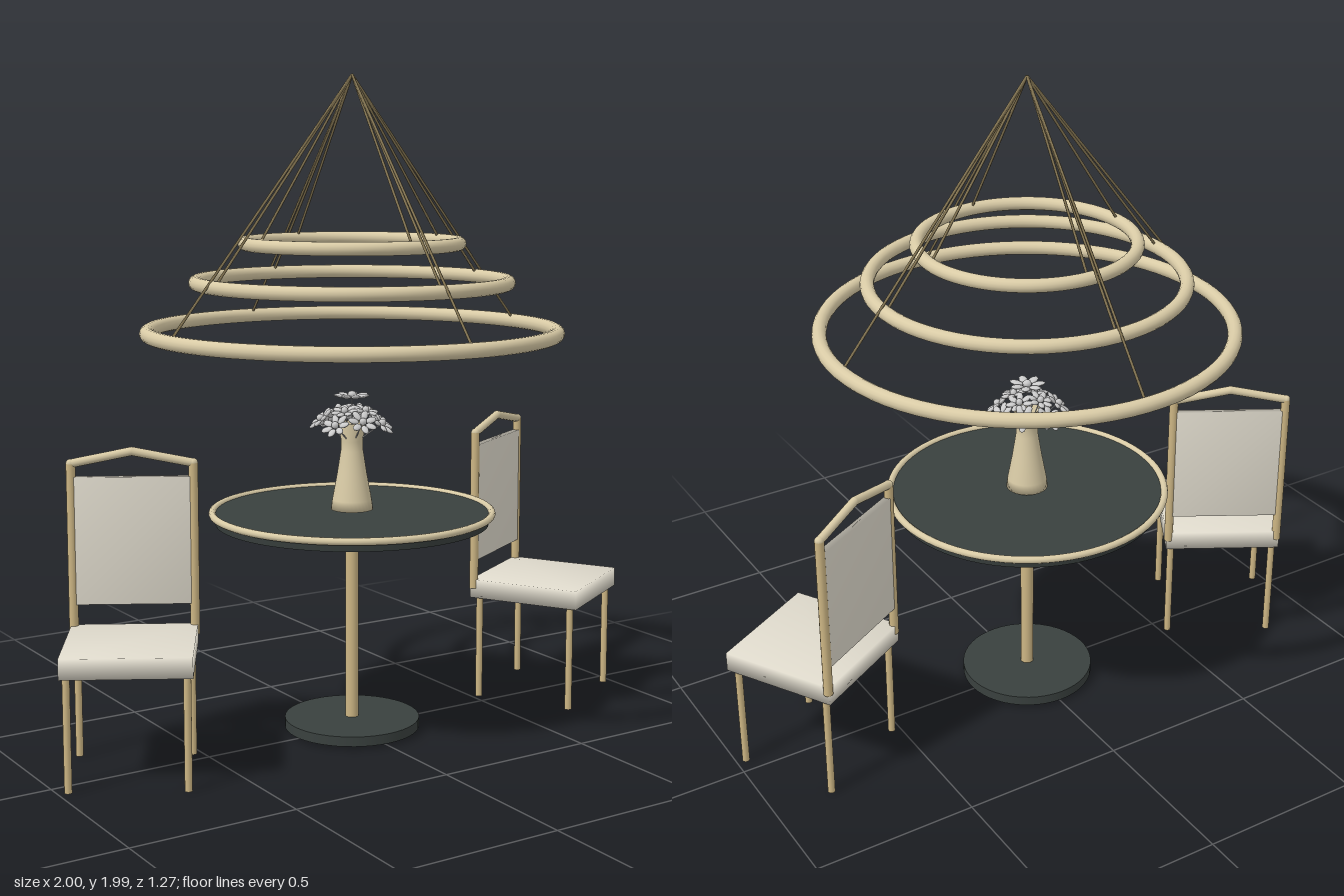
import * as THREE from 'three';
import { mergeVertices } from 'three/addons/utils/BufferGeometryUtils.js';

const paint = (color, side = THREE.FrontSide) => {
  const m = new THREE.MeshStandardMaterial({ side });
  m.color.set(color);
  return m;
};
const brass = paint(0xcdb684);
const pale = paint(0xd9cba6);
const wireMat = paint(0x857653);
const dark = paint(0x39403e);
const fabric = paint(0xe0dbcd);
const ceramic = paint(0xd9cba6, THREE.DoubleSide);
const petalMat = paint(0xcccccc);

const V = (x, y, z) => new THREE.Vector3(x, y, z);

function add(parent, name, geometry, material, x = 0, y = 0, z = 0) {
  const mesh = new THREE.Mesh(geometry, material);
  mesh.name = name;
  mesh.position.set(x, y, z);
  parent.add(mesh);
  return mesh;
}

// Straight round rod between two points
function rod(parent, name, a, b, radius, material, sides = 10) {
  const d = b.clone().sub(a);
  const mesh = add(parent, name, new THREE.CylinderGeometry(radius, radius, d.length(), sides), material);
  mesh.position.copy(a).add(b).multiplyScalar(0.5);
  mesh.quaternion.setFromUnitVectors(V(0, 1, 0), d.normalize());
  return mesh;
}

// Box whose normals blend over the corners, for a cushion-like shade
function cushion(w, h, d) {
  const g = new THREE.BoxGeometry(w, h, d);
  g.deleteAttribute('normal');
  g.deleteAttribute('uv');
  const merged = mergeVertices(g);
  merged.computeVertexNormals();
  return merged;
}

function makeChair(name) {
  const chair = new THREE.Group();
  chair.name = name;
  add(chair, 'seat', cushion(0.37, 0.06, 0.363), fabric, 0, 0.361, 0);
  add(chair, 'backPanel', cushion(0.335, 0.378, 0.022), fabric, 0, 0.644, -0.172);
  for (const s of [-1, 1]) {
    for (const z of [-0.155, 0.155]) {
      rod(chair, 'leg', V(s * 0.167, 0, z), V(s * 0.167, 0.335, z), 0.011, brass, 12);
    }
    // back post and one half of the peaked top rail
    rod(chair, 'backPost', V(s * 0.177, 0.362, -0.172), V(s * 0.177, 0.872, -0.172), 0.014, brass, 12);
    rod(chair, 'topRail', V(s * 0.177, 0.872, -0.172), V(0, 0.907, -0.172), 0.013, pale, 12);
    add(chair, 'railJoint', new THREE.SphereGeometry(0.014, 12, 8), pale, s * 0.177, 0.872, -0.172);
  }
  add(chair, 'railPeak', new THREE.SphereGeometry(0.013, 12, 8), pale, 0, 0.907, -0.172);
  return chair;
}

function makeTable() {
  const table = new THREE.Group();
  table.name = 'table';
  add(table, 'tableTop', new THREE.CylinderGeometry(0.42, 0.415, 0.033, 64), dark, 0, 0.667, 0);
  add(table, 'tableRim', new THREE.TorusGeometry(0.424, 0.011, 10, 72), pale, 0, 0.682, 0).rotation.x = Math.PI / 2;
  add(table, 'column', new THREE.CylinderGeometry(0.02, 0.02, 0.615, 24), brass, 0, 0.345, 0);
  add(table, 'base', new THREE.CylinderGeometry(0.207, 0.207, 0.03, 48), dark, 0, 0.024, 0);
  return table;
}

// Open blossom: a ring of egg-shaped petals around a small heart
function makeFlower(radius, petals) {
  const flower = new THREE.Group();
  flower.name = 'flower';
  const petal = new THREE.SphereGeometry(1, 8, 6);
  for (let i = 0; i < petals; i++) {
    const pivot = new THREE.Group();
    pivot.name = 'petalPivot';
    pivot.rotation.y = (i / petals) * Math.PI * 2;
    const p = add(pivot, 'petal', petal, petalMat, radius * 0.62, 0.003, 0);
    p.scale.set(radius * 0.4, 0.006, radius * 0.25);
    p.rotation.z = 0.15;
    flower.add(pivot);
  }
  add(flower, 'flowerHeart', petal, petalMat, 0, 0.006, 0).scale.set(radius * 0.26, 0.012, radius * 0.26);
  return flower;
}

function makeBouquet() {
  const bouquet = new THREE.Group();
  bouquet.name = 'bouquet';
  // vase: wide foot, narrow neck, flared lip
  const profile = [[0, 0.69], [0.064, 0.69], [0.06, 0.72], [0.045, 0.8], [0.034, 0.87],
    [0.033, 0.9], [0.041, 0.955], [0.036, 0.955], [0.028, 0.9]].map(p => new THREE.Vector2(...p));
  add(bouquet, 'vase', new THREE.LatheGeometry(profile, 32), ceramic);

  const place = (r, y, angle, tilt, size) => {
    const holder = new THREE.Group();
    holder.name = 'flowerHolder';
    holder.rotation.y = angle;
    const f = makeFlower(size, 7);
    f.position.set(r, y, 0);
    f.rotation.z = -tilt;
    holder.add(f);
    rod(holder, 'stem', V(r * 0.2, 0.9, 0), V(r, y, 0), 0.002, petalMat, 5);
    bouquet.add(holder);
  };
  place(0, 1.034, 0, 0, 0.055);
  for (let i = 0; i < 4; i++) place(0.045, 0.992, i * Math.PI / 2 + 0.5, 0.3, 0.042);
  for (let i = 0; i < 7; i++) place(0.092, 0.955 + 0.012 * (i % 2), i * Math.PI * 2 / 7, 0.75, 0.045);
  return bouquet;
}

function makeChandelier() {
  const chandelier = new THREE.Group();
  chandelier.name = 'chandelier';
  const apex = V(0, 1.988, 0);
  const tiers = [[0.612, 1.232, 0.022], [0.466, 1.38, 0.021], [0.32, 1.495, 0.02]];
  for (const [radius, y, tube] of tiers) {
    add(chandelier, 'ring', new THREE.TorusGeometry(radius, tube, 14, 72), pale, 0, y, 0).rotation.x = Math.PI / 2;
    for (let i = 0; i < 4; i++) {
      const a = i * Math.PI / 2;
      rod(chandelier, 'wire', V(radius * Math.cos(a), y, radius * Math.sin(a)), apex, 0.004, wireMat, 6);
    }
  }
  return chandelier;
}

export function createModel() {
  const model = new THREE.Group();
  model.name = 'diningSet';
  model.add(makeTable(), makeBouquet(), makeChandelier());
  for (const [name, s] of [['leftChair', 1], ['rightChair', -1]]) {
    const chair = makeChair(name);
    chair.position.x = s * 0.748;
    chair.rotation.y = s * Math.PI / 6;
    model.add(chair);
  }
  return model;
}
